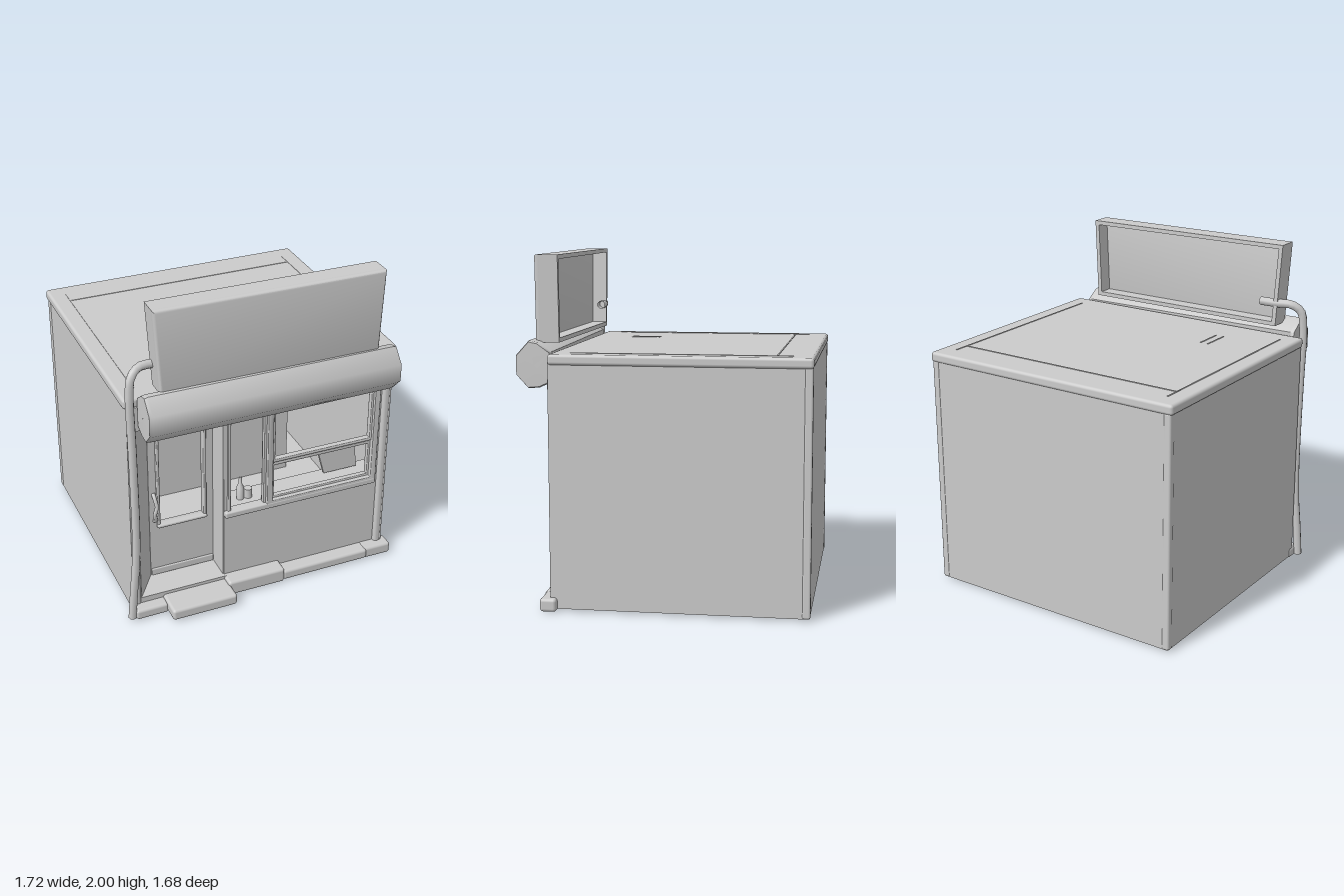
import * as THREE from 'three';
import { toCreasedNormals } from 'three/addons/utils/BufferGeometryUtils.js';
import { RoundedBoxGeometry } from 'three/addons/geometries/RoundedBoxGeometry.js';

const mat = new THREE.MeshStandardMaterial({ color: 0xcccccc, side: THREE.DoubleSide });

export function createModel() {
  const root = new THREE.Group();

  function add(name, geo, parent = root) {
    const m = new THREE.Mesh(geo, mat);
    m.name = name;
    parent.add(m);
    return m;
  }
  // Box given by its min and max on each axis, optionally with rounded edges
  function box(name, x0, x1, y0, y1, z0, z1, r = 0) {
    const s = [x1 - x0, y1 - y0, z1 - z0];
    const g = r ? new RoundedBoxGeometry(...s, 2, r) : new THREE.BoxGeometry(...s);
    return add(name, g.translate((x0 + x1) / 2, (y0 + y1) / 2, (z0 + z1) / 2));
  }
  const outline = pts => new THREE.Shape(pts.map(p => new THREE.Vector2(...p)));
  const rect = (x0, x1, y0, y1) => [[x0, y0], [x1, y0], [x1, y1], [x0, y1]];
  // Flat panel facing +z with holes, from z0 to z1
  function panel(name, pts, holes, z0, z1, bevel = 0) {
    const s = outline(pts);
    s.holes = holes.map(outline);
    const g = new THREE.ExtrudeGeometry(s, {
      depth: z1 - z0 - 2 * bevel, bevelEnabled: bevel > 0, bevelSize: bevel,
      bevelThickness: bevel, bevelOffset: -bevel, bevelSegments: 3, curveSegments: 1,
    });
    return add(name, toCreasedNormals(g.translate(0, 0, z0 + bevel), 0.8));
  }
  function frame(name, x0, x1, y0, y1, w, z0, z1) {
    return panel(name, rect(x0, x1, y0, y1), [rect(x0 + w, x1 - w, y0 + w, y1 - w)], z0, z1, 0.006);
  }
  function tube(name, pts, r, segs) {
    const c = new THREE.CatmullRomCurve3(pts.map(p => new THREE.Vector3(...p)));
    return add(name, new THREE.TubeGeometry(c, segs, r, 8));
  }

  // Shell: side walls, corner trims, back wall and floor
  for (const s of [-1, 1]) {
    const span = (a, b) => [s * a, s * b].sort((p, q) => p - q);
    box('sideWall', ...span(0.8, 0.815), 0.01, 1.4, -0.825, 0.63);
    box('backCornerPost', ...span(0.775, 0.82), 0.01, 1.4, -0.832, -0.785, 0.012);
    box('frontPillar', ...span(0.765, 0.812), 0.01, 1.4, 0.58, 0.635, 0.02);
  }
  box('backWall', -0.81, 0.81, 0.01, 1.4, -0.828, -0.81);
  box('floor', -0.8, 0.8, 0.09, 0.1, -0.81, 0.43);
  box('floorFront', -0.23, 0.8, 0.09, 0.1, 0.43, 0.585);

  // Roof slab with thin seams flush on top
  box('roofSlab', -0.83, 0.83, 1.39, 1.45, -0.835, 0.63, 0.018);
  for (const x of [-0.73, 0.73]) box('roofSeam', x - 0.004, x + 0.004, 1.44, 1.453, -0.72, 0.52);
  box('roofSeam', -0.73, 0.73, 1.44, 1.453, -0.634, -0.626);
  for (const x of [-0.42, -0.37]) box('roofVentSlot', x - 0.004, x + 0.004, 1.44, 1.453, 0.2, 0.38);

  // Slanted wall beside the doorway, and the return wall on the other side
  const slant = new THREE.ExtrudeGeometry(
    outline([[-0.79, -0.62], [-0.765, -0.63], [-0.635, -0.44], [-0.655, -0.43]]),
    { depth: 1.39, bevelEnabled: false });
  add('doorwaySideWall', slant.rotateX(-Math.PI / 2).translate(0, 0.01, 0));
  box('doorwayReturn', -0.24, -0.22, 0.01, 1.4, 0.42, 0.605);
  box('doorwayFloor', -0.77, -0.22, 0.06, 0.1, 0.42, 0.63);
  box('doorHeader', -0.65, -0.22, 1.2, 1.4, 0.425, 0.455);

  // Shop front wall with window openings
  panel('frontWall', rect(-0.235, 0.785, 0.02, 1.4),
    [rect(-0.195, 0.015, 0.56, 1.25), rect(0.055, 0.725, 0.555, 1.25)], 0.58, 0.61);
  box('windowSill', -0.235, 0.745, 0.52, 0.56, 0.6, 0.64, 0.01);
  frame('mainWindowFrame', 0.025, 0.745, 0.535, 1.27, 0.038, 0.59, 0.638);
  frame('upperSash', 0.06, 0.715, 0.825, 1.245, 0.022, 0.585, 0.622);
  frame('lowerSash', 0.06, 0.715, 0.565, 0.82, 0.022, 0.58, 0.612);
  frame('narrowWindowFrame', -0.215, 0.03, 0.54, 1.27, 0.02, 0.59, 0.622);

  // Door with its glazed opening
  panel('door', rect(-0.64, -0.235, 0.1, 1.2), [rect(-0.585, -0.295, 0.46, 1.13)], 0.425, 0.45);
  frame('doorWindowTrim', -0.595, -0.285, 0.445, 1.14, 0.02, 0.42, 0.465);
  box('doorSill', -0.595, -0.285, 0.445, 0.465, 0.44, 0.48, 0.008);
  box('kickPlate', -0.635, -0.24, 0.1, 0.145, 0.44, 0.46, 0.006);
  tube('doorHandle', [[-0.612, 0.68, 0.45], [-0.612, 0.66, 0.475], [-0.606, 0.61, 0.49],
    [-0.618, 0.56, 0.49], [-0.608, 0.51, 0.475], [-0.608, 0.49, 0.45]], 0.012, 24);

  // Curb along the front and the door step
  for (const [x0, x1, y, z, turn] of [[-0.82, -0.62, 0.07, 0.7, 0.008], [-0.24, 0.125, 0.1, 0.705, -0.004],
    [0.12, 0.69, 0.07, 0.695, 0.004], [0.67, 0.855, 0.08, 0.685, -0.008]]) {
    box('curbStone', x0, x1, 0.005, y, 0.59, z, 0.018).rotation.z = turn;
  }
  box('doorStep', -0.63, -0.225, 0.01, 0.08, 0.58, 0.8, 0.018);

  // Rolled awning: faceted profile with slightly domed ends, top edge falling to one side
  const profile = [[0.76, 1.523], [0.835, 1.44], [0.835, 1.325], [0.765, 1.25], [0.7, 1.255], [0.635, 1.285],
    [0.635, 1.46], [0.71, 1.513]];
  const rings = [[-0.757, 0.01], [-0.755, 0.95], [-0.735, 1], [0.735, 1], [0.755, 0.95], [0.757, 0.01]];
  const pos = [], idx = [], n = profile.length;
  rings.forEach(([x, k]) => profile.forEach(([z, y]) =>
    pos.push(x, 1.385 + (y - 1.385) * k - (y > 1.4 ? x * 0.008 : 0), 0.73 + (z - 0.73) * k - x * 0.01)));
  for (let r = 0; r < rings.length - 1; r++) for (let i = 0; i < n; i++) {
    const a = r * n + i, b = r * n + (i + 1) % n;
    idx.push(a, b, b + n, a, b + n, a + n);
  }
  const awning = new THREE.BufferGeometry();
  awning.setAttribute('position', new THREE.Float32BufferAttribute(pos, 3));
  awning.setIndex(idx);
  add('awningRoll', toCreasedNormals(awning, 0.95));
  box('awningBacking', -0.78, 0.78, 1.25, 1.4, 0.6, 0.64);

  // Sign board: front plate with a hollow back
  const sign = [[-0.65, 1.5], [0.655, 1.5], [0.675, 1.99], [-0.683, 2]];
  const inner = [[-0.625, 1.525], [0.63, 1.525], [0.648, 1.965], [-0.656, 1.975]];
  panel('signPlate', sign, [], 0.69, 0.735, 0.015);
  panel('signRim', sign, [inner], 0.6, 0.72);

  // Drain pipe running up the side and behind the sign
  tube('drainPipe', [[-0.838, 0.01, 0.67], [-0.822, 0.2, 0.67], [-0.803, 0.4, 0.668], [-0.796, 0.6, 0.668],
    [-0.797, 0.9, 0.668], [-0.801, 1.2, 0.67], [-0.805, 1.5, 0.67], [-0.79, 1.6, 0.66],
    [-0.74, 1.64, 0.635], [-0.65, 1.64, 0.62], [-0.54, 1.64, 0.615]], 0.025, 60);

  // Interior: low counter, splash board, wall pictures and goods on the sill
  box('backCounter', -0.79, 0.6, 0.1, 0.56, -0.81, -0.3);
  box('splashBoard', -0.2, 0.53, 0.56, 0.81, -0.81, -0.78);
  box('wallCabinet', -0.53, -0.31, 0.64, 0.8, -0.81, -0.76);
  box('windowCounter', -0.2, 0.78, 0.52, 0.55, 0.42, 0.58);
  for (const [x0, x1, y0, y1] of [[-0.18, -0.13, 0.87, 1.16], [-0.1, 0.02, 0.89, 1.17],
    [0.09, 0.38, 0.89, 1.18]]) box('wallPicture', x0, x1, y0, y1, -0.815, -0.795);
  const scale = new THREE.Group();
  scale.name = 'scale';
  root.add(scale);
  add('scaleBase', new THREE.BoxGeometry(0.16, 0.04, 0.12).translate(-0.4, 0.59, -0.5), scale);
  add('scalePost', new THREE.BoxGeometry(0.03, 0.08, 0.03).translate(-0.39, 0.64, -0.5), scale);
  panel('menuBoard', [[0.47, 0.57], [0.69, 0.57], [0.67, 0.73], [0.43, 0.72]], [], 0.47, 0.49);
  const bottle = [[0, 0], [0.022, 0], [0.022, 0.08], [0.009, 0.11], [0.009, 0.15], [0, 0.15]];
  const jar = [[0, 0], [0.025, 0], [0.025, 0.06], [0, 0.06]];
  for (const [name, pts, x] of [['bottle', bottle, -0.09], ['jar', jar, -0.04]]) {
    const g = new THREE.LatheGeometry(pts.map(p => new THREE.Vector2(...p)), 12);
    add(name, toCreasedNormals(g, 0.7).translate(x, 0.55, 0.51));
  }

  // Beam and feet under the floor
  box('underBeam', -0.47, 0.78, 0.01, 0.09, -0.6, -0.57);
  for (const x of [-0.5, 0.72]) box('underBeamFoot', x - 0.06, x + 0.06, 0.03, 0.09, -0.67, -0.57);
  return root;
}
